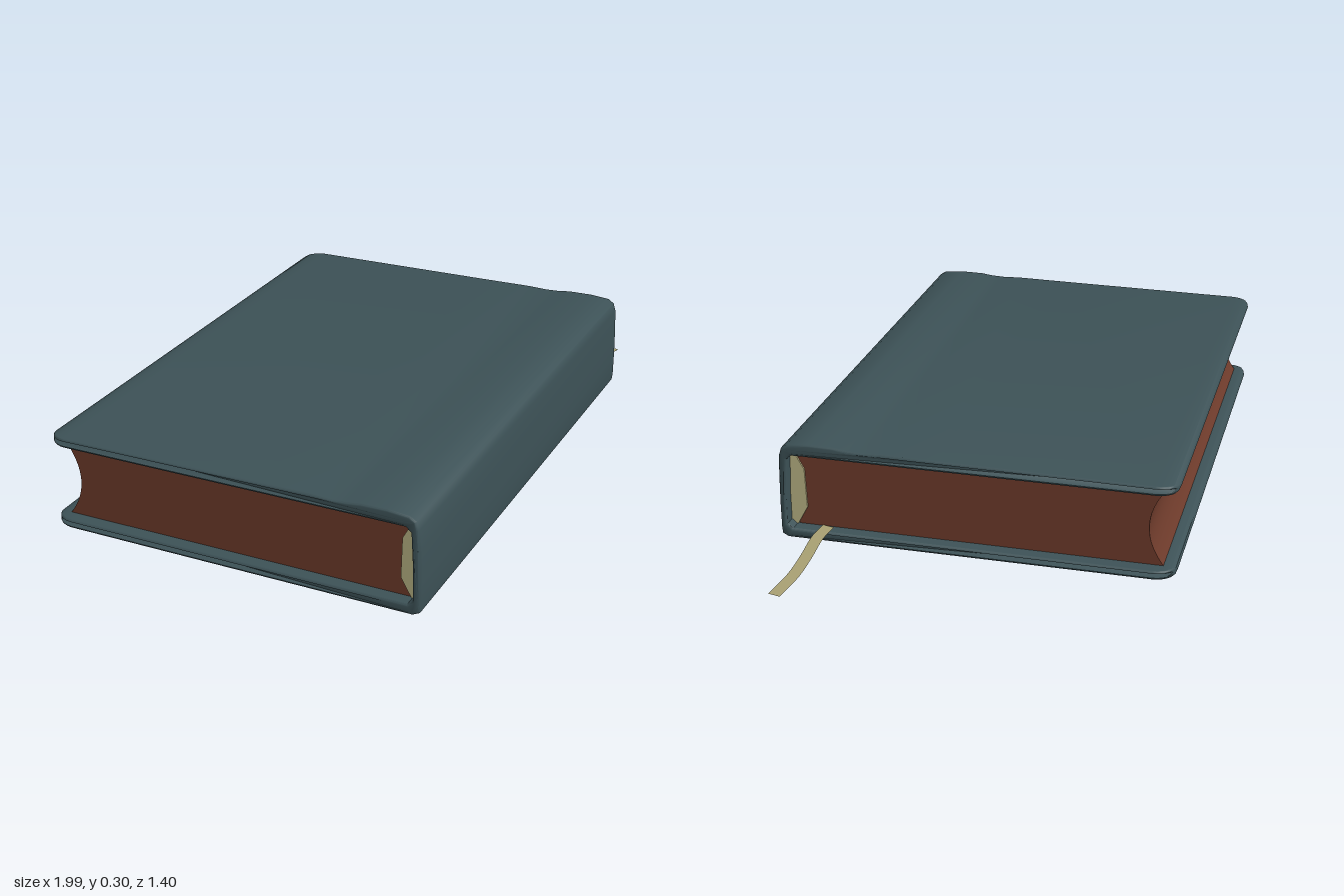
import * as THREE from 'three';
import { toCreasedNormals } from 'three/addons/utils/BufferGeometryUtils.js';

const HALF = 0.77, DEPTH = 0.55; // half length of the spine, half depth of the boards

const material = (color, side = THREE.FrontSide) => new THREE.MeshStandardMaterial({ color, side });

// Extrudes a (depth, height) outline along the length of the book, centred on x
function extrudeAlong(shape, length, bevel = 0) {
  const geo = new THREE.ExtrudeGeometry(shape, {
    depth: length - 2 * bevel, curveSegments: 16, bevelEnabled: bevel > 0,
    bevelSize: bevel, bevelThickness: bevel, bevelOffset: -bevel, bevelSegments: 3,
  });
  geo.translate(0, 0, bevel - length / 2);
  geo.rotateY(-Math.PI / 2);
  return geo;
}

function addMesh(parent, name, geo, mat) {
  const mesh = new THREE.Mesh(geo, mat);
  mesh.name = name;
  parent.add(mesh);
}

// One board and spine in a C-shaped section, with rounded corners
function coverGeometry() {
  const corner = [-0.49, -0.505, -0.518, -0.528, -0.536];
  const run = (y0, y1) => corner.map((v, i) => [v, y0 + (y1 - y0) * i / 4]);
  const points = [
    // outside, from the lower fore-edge round the spine to the upper fore-edge
    [-0.546, 0.024], ...run(0.02, 0.021).reverse(), [0.53, 0.02], [0.548, 0.027], [0.552, 0.045],
    [0.553, 0.12], [0.55, 0.2], [0.546, 0.265], [0.538, 0.288], [0.52, 0.3], [0.46, 0.305],
    [0.39, 0.304], [0.35, 0.299], [0.31, 0.297], [0.25, 0.299], [0.1, 0.297],
    ...run(0.291, 0.289), [-0.547, 0.284],
    // inside
    [-0.55, 0.277], [-0.546, 0.269], ...run(0.265, 0.265).reverse(),
    [0.51, 0.268], [0.525, 0.255], [0.53, 0.15], [0.53, 0.06], [0.515, 0.047],
    ...run(0.045, 0.045), [-0.546, 0.041], [-0.55, 0.033],
  ];
  const shape = new THREE.Shape(points.map(([v, y]) => new THREE.Vector2(v, y)));
  const geo = extrudeAlong(shape, 2 * HALF, 0.006);

  // Pull the ends in near the fore-edge and spine for round corners
  const inset = (distance, r) => {
    const t = Math.max(0, r - Math.max(0, distance));
    return r - Math.sqrt(Math.max(0, r * r - t * t));
  };
  const p = geo.attributes.position;
  for (let i = 0; i < p.count; i++) {
    const v = p.getZ(i);
    const cut = inset(v + DEPTH, 0.06) + inset(DEPTH + 0.003 - v, 0.016);
    p.setX(i, p.getX(i) * (1 - cut / HALF));
  }
  return toCreasedNormals(geo, 0.7);
}

// Page block with a hollow fore-edge
function pagesGeometry() {
  const s = new THREE.Shape();
  s.moveTo(-0.514, 0.044);
  s.lineTo(0.51, 0.044);
  s.lineTo(0.51, 0.266);
  s.lineTo(-0.514, 0.266);
  s.quadraticCurveTo(-0.43, 0.155, -0.514, 0.044);
  return toCreasedNormals(extrudeAlong(s, 1.46), 0.5);
}

function headbandGeometry() {
  const outline = [[0.53, 0.047], [0.53, 0.266], [0.515, 0.266], [0.487, 0.215], [0.483, 0.1], [0.512, 0.047]];
  const shape = new THREE.Shape(outline.map(([v, y]) => new THREE.Vector2(v, y)));
  return extrudeAlong(shape, 0.03);
}

// Flat ribbon trailing out and down to the ground
function ribbonGeometry() {
  const path = new THREE.CatmullRomCurve3([
    [0.68, 0.05, 0.242], [0.75, 0.047, 0.234], [0.82, 0.026, 0.224],
    [0.9, 0.01, 0.213], [1, 0.001, 0.207],
  ].map(a => new THREE.Vector3(...a)));
  const steps = 20;
  const geo = new THREE.PlaneGeometry(1, 1, steps, 1);
  const p = geo.attributes.position;
  for (let i = 0; i < p.count; i++) {
    const c = path.getPoint(p.getX(i) + 0.5);
    p.setXYZ(i, c.x, c.y, c.z - p.getY(i) * 0.036);
  }
  geo.computeVertexNormals();
  return geo;
}

export function createModel() {
  const model = new THREE.Group();
  model.name = 'book';

  // The closed book lies turned on the ground, spine to the front
  const body = new THREE.Group();
  body.name = 'closedBook';
  body.position.set(-0.1325, 0, -0.005);
  body.rotation.y = 0.226;
  model.add(body);

  addMesh(body, 'cover', coverGeometry(), material(0x3d5257));
  addMesh(body, 'pages', pagesGeometry(), material(0x6e3b2b));
  for (const side of [-1, 1]) {
    const geo = headbandGeometry().translate(side * 0.72, 0, 0);
    addMesh(body, side > 0 ? 'leftHeadband' : 'rightHeadband', geo, material(0xb9b384));
  }
  addMesh(model, 'bookmarkRibbon', ribbonGeometry(), material(0xa9a173, THREE.DoubleSide));
  return model;
}
